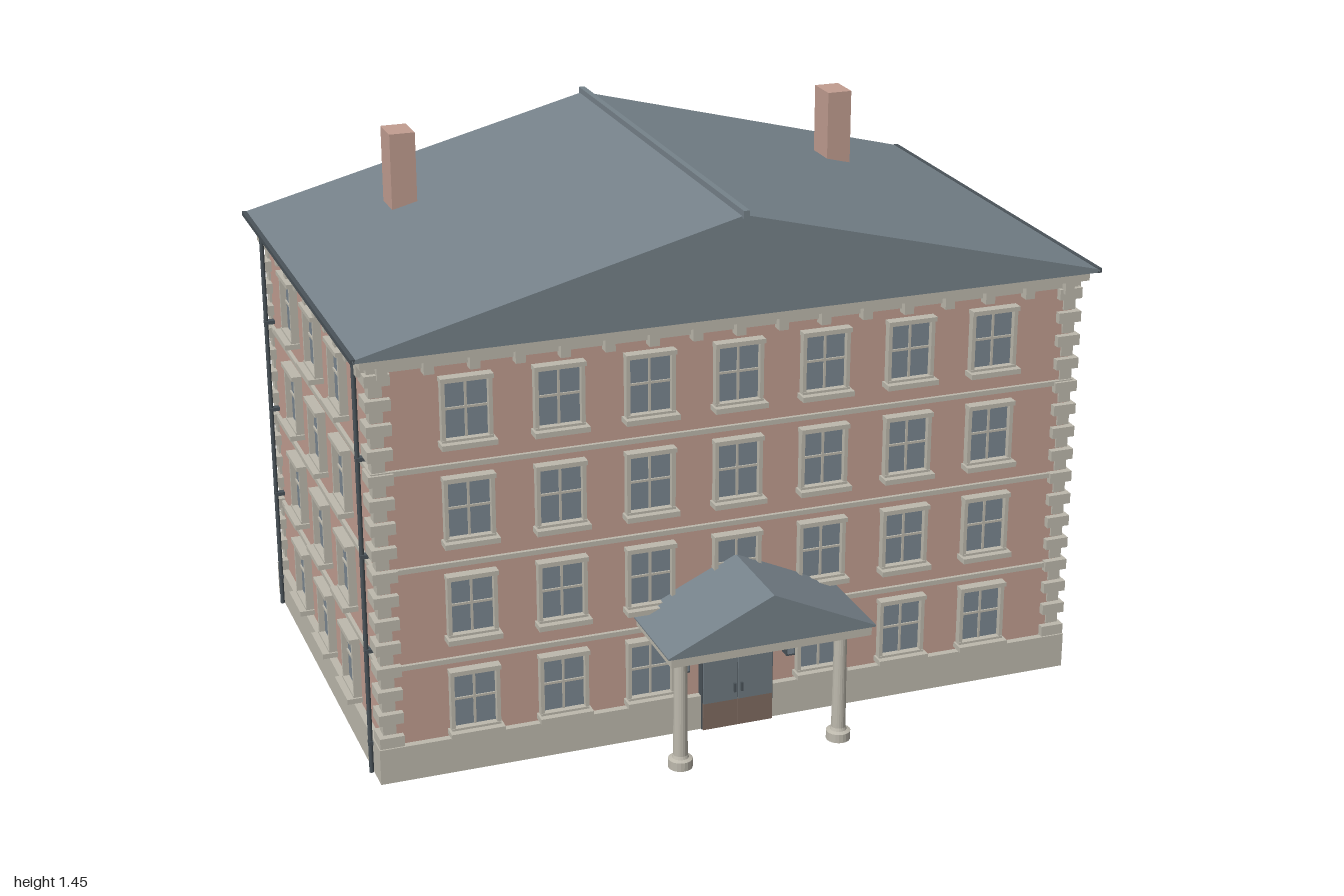
import * as THREE from 'three';

const mat = (name, color) => new THREE.MeshStandardMaterial({ name, color });

export function createModel() {
  const brick = mat('brick', 0xc29e91), trim = mat('stone trim', 0xbdb9ad), roofMat = mat('slate', 0x76828a);
  const glass = mat('glass', 0x7b8790), metal = mat('dark metal', 0x4a5359);
  const doorMat = mat('door', 0x6f7a81), kick = mat('kick plate', 0x806c61);

  const model = new THREE.Group();
  model.name = 'apartmentHouse';
  const CZ = -0.104, HX = 0.945, HZ = 0.585; // body centre and half sizes

  const add = (parent, name, geo, material, x = 0, y = 0, z = 0) => {
    const m = new THREE.Mesh(geo, material);
    m.name = name;
    m.position.set(x, y, z);
    parent.add(m);
    return m;
  };
  // box given by its centre x, z and its bottom and top
  const box = (parent, name, material, w, y0, y1, d, x = 0, z = 0) =>
    add(parent, name, new THREE.BoxGeometry(w, y1 - y0, d), material, x, (y0 + y1) / 2, z);
  const gable = (parent, name, half, y0, y1, z0, z1, lip) => {
    const s = new THREE.Shape();
    s.moveTo(-half, y0); s.lineTo(half, y0); s.lineTo(half, y0 + lip);
    s.lineTo(0, y1); s.lineTo(-half, y0 + lip); s.closePath();
    const g = new THREE.ExtrudeGeometry(s, { depth: z1 - z0, bevelEnabled: false });
    return add(parent, name, g, roofMat, 0, 0, z0);
  };

  // main body
  const body = new THREE.Group();
  body.name = 'body';
  body.position.z = CZ;
  model.add(body);
  box(body, 'walls', brick, HX * 2, 0.01, 1.13, HZ * 2);
  box(body, 'plinth', trim, 1.93, 0, 0.097, 1.208);
  box(body, 'cornice', trim, 1.95, 1.125, 1.155, 1.23);
  box(body, 'frieze', trim, 1.91, 1.105, 1.126, 1.19);

  // one window, built on the local plane z = 0 with its sill at y = 0
  const makeWindow = () => {
    const w = new THREE.Group();
    w.name = 'window';
    box(w, 'pane', glass, 0.112, 0.018, 0.172, 0.006, 0, 0.002);
    box(w, 'mullion', trim, 0.006, 0.018, 0.172, 0.008, 0, 0.005);
    box(w, 'transom', trim, 0.112, 0.094, 0.1, 0.008, 0, 0.005);
    for (const s of [-1, 1]) box(w, 'jamb', trim, 0.01, 0.015, 0.172, 0.026, s * 0.06, 0.008);
    box(w, 'lintel', trim, 0.134, 0.17, 0.182, 0.032, 0, 0.012);
    box(w, 'sill', trim, 0.142, 0, 0.014, 0.046, 0, 0.018);
    box(w, 'apron', trim, 0.13, 0.013, 0.02, 0.026, 0, 0.01);
    return w;
  };
  const windowProto = makeWindow();

  // four facades, each facing its local +z
  const facade = (name, half, dist, turn, columns, spacing, hasDoor) => {
    const f = new THREE.Group();
    f.name = name;
    f.rotation.y = turn;
    body.add(f);
    const wall = new THREE.Group();
    wall.name = 'wallFace';
    wall.position.z = dist;
    f.add(wall);
    for (let r = 0; r < 4; r++) {
      for (let c = 0; c < columns; c++) {
        const k = c - (columns - 1) / 2;
        if (hasDoor && r === 0 && k === 0) continue;
        const w = windowProto.clone();
        w.position.set(k * spacing, 0.105 + r * 0.263, 0);
        wall.add(w);
      }
      if (r) box(wall, 'bandCourse', trim, half * 2 + 0.016, 0.041 + r * 0.264, 0.054 + r * 0.264, 0.02, 0, 0);
    }
    // brackets under the cornice
    const n = Math.round((half * 2) / 0.118);
    for (let i = 0; i <= n; i++)
      box(wall, 'bracket', trim, 0.026, 1.093, 1.126, 0.034, (i / n - 0.5) * (half * 2 - 0.05), 0.012);
  };
  facade('frontFacade', HX, HZ, 0, 7, 0.237, true);
  facade('backFacade', HX, HZ, Math.PI, 7, 0.237, false);
  facade('leftFacade', HZ, HX, Math.PI / 2, 3, 0.278, false);
  facade('rightFacade', HZ, HX, -Math.PI / 2, 3, 0.278, false);

  // alternating corner stones
  for (const sx of [-1, 1]) for (const sz of [-1, 1]) {
    for (let i = 0; i < 31; i++) {
      const long = i % 2 === 0, len = long ? 0.046 : 0.028, out = long ? 0.018 : 0.006;
      const y = 0.099 + i * 0.0325, s = len + out;
      box(body, 'cornerStone', trim, s, y, y + 0.029, s,
        sx * (HX + out - s / 2), sz * (HZ + out - s / 2));
    }
  }

  // roof, ridge and gutters
  gable(model, 'roof', 0.995, 1.15, 1.412, -0.74, 0.528, 0.008);
  box(model, 'ridgeCap', roofMat, 0.016, 1.405, 1.426, 1.284, 0, CZ);
  for (const s of [-1, 1]) {
    box(model, 'gutter', metal, 0.012, 1.149, 1.161, 1.268, s * 0.994, CZ - 0.002);
    box(model, 'chimney', brick, 0.07, 1.2, 1.45, 0.095, s * 0.633, -0.398);
    // downpipes with clips
    for (const z of [0.425, -0.635]) {
      add(model, 'downpipe', new THREE.CylinderGeometry(0.006, 0.006, 1.13, 10), metal, s * 0.971, 0.565, z);
      for (const y of [0.08, 0.34, 0.6, 0.86])
        box(model, 'pipeClip', metal, 0.028, y, y + 0.01, 0.018, s * 0.962, z);
    }
  }

  // porch
  const porch = new THREE.Group();
  porch.name = 'porch';
  model.add(porch);
  gable(porch, 'porchRoof', 0.282, 0.35, 0.484, 0.48, 0.75, 0.004);
  box(porch, 'porchBeam', trim, 0.545, 0.325, 0.352, 0.265, 0, 0.612);
  const columnProfile = [[0, 0], [0.032, 0], [0.032, 0.024], [0.022, 0.028], [0.019, 0.036],
    [0.017, 0.3], [0.021, 0.304], [0.026, 0.312], [0.026, 0.326]].map(p => new THREE.Vector2(...p));
  for (const s of [-1, 1]) {
    const col = add(porch, 'column', new THREE.LatheGeometry(columnProfile, 20).toNonIndexed(), trim, s * 0.22, 0, 0.668);
    col.geometry.computeVertexNormals();
    box(porch, 'lampShade', metal, 0.024, 0.178, 0.218, 0.03, s * 0.148, 0.497);
    box(porch, 'lampGlass', glass, 0.018, 0.184, 0.212, 0.004, s * 0.148, 0.513);
  }

  // entrance doors and arch
  box(porch, 'doorFrame', metal, 0.2, 0, 0.245, 0.03, 0, 0.49);
  for (const s of [-1, 1]) {
    box(porch, 'doorLeaf', doorMat, 0.095, 0.076, 0.24, 0.008, s * 0.049, 0.506);
    box(porch, 'kickPlate', kick, 0.097, 0, 0.076, 0.008, s * 0.049, 0.506);
    box(porch, 'doorHandle', metal, 0.006, 0.1, 0.125, 0.008, s * 0.01, 0.513);
  }
  const arch = new THREE.Shape();
  arch.absellipse(0, 0, 0.125, 0.082, 0, Math.PI, false);
  arch.lineTo(-0.102, 0);
  arch.absellipse(0, 0, 0.102, 0.06, Math.PI, 0, true);
  arch.closePath();
  add(porch, 'doorArch',
    new THREE.ExtrudeGeometry(arch, { depth: 0.035, bevelEnabled: false, curveSegments: 20 }), trim, 0, 0.241, 0.476);

  return model;
}
